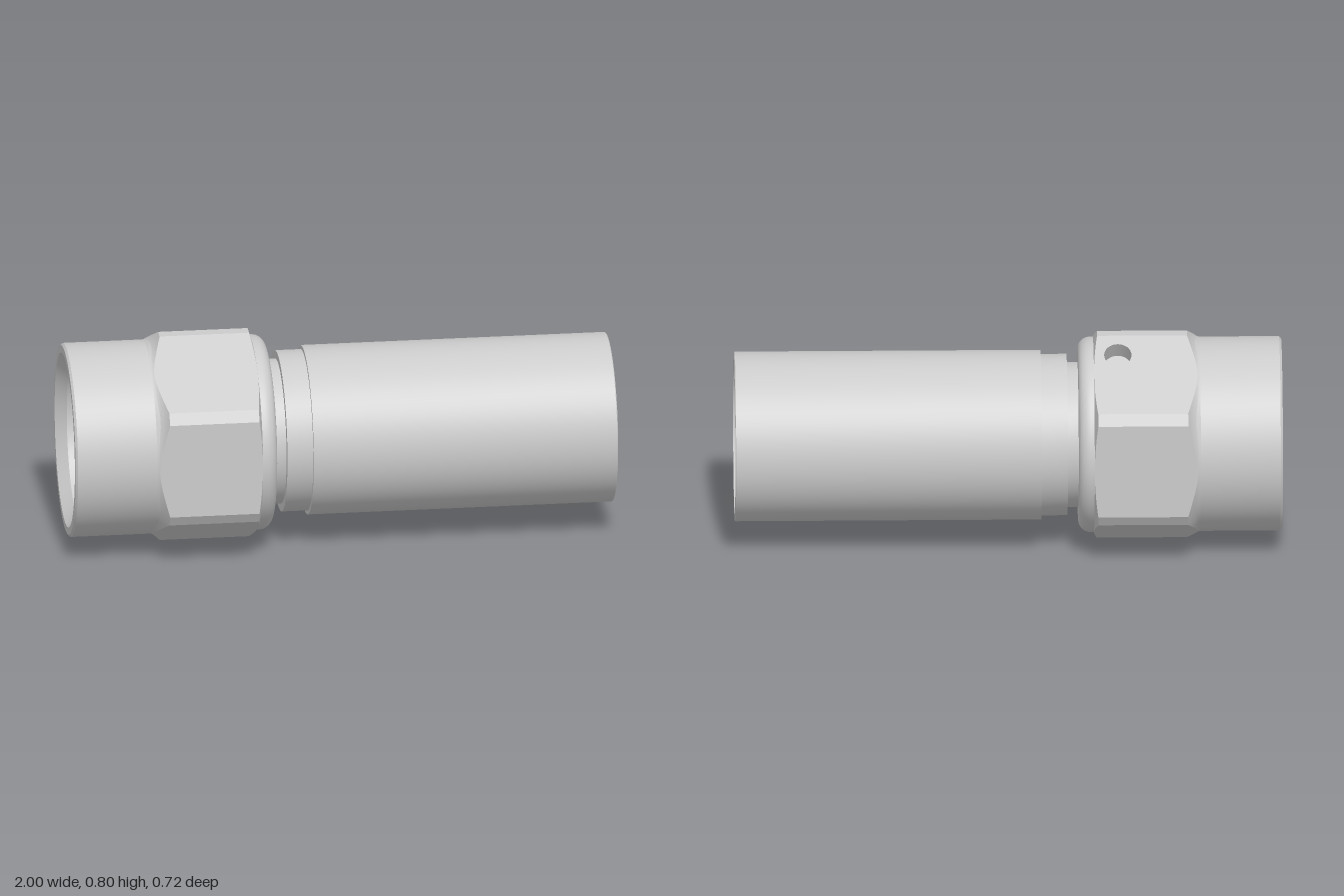
import * as THREE from 'three';
import { mergeGeometries, toCreasedNormals } from 'three/addons/utils/BufferGeometryUtils.js';

const AXIS_Y = 0.4;
const CREASE = 0.2;

export function createModel() {
  const model = new THREE.Group();
  const material = new THREE.MeshStandardMaterial({ color: 0xcccccc, side: THREE.DoubleSide });

  function add(name, geometry) {
    const mesh = new THREE.Mesh(geometry, material);
    mesh.name = name;
    mesh.position.y = AXIS_Y;
    model.add(mesh);
  }

  // Turned part about the x axis from [x, radius] points; outer walls run toward +x
  function turned(name, profile) {
    const points = profile.map(([x, r]) => new THREE.Vector2(r, x));
    const geometry = new THREE.LatheGeometry(points, 96).rotateZ(-Math.PI / 2);
    add(name, toCreasedNormals(geometry, CREASE));
  }

  // Threaded-end collar: bore, mouth chamfer, outer wall
  turned('nutCollar', [
    [-0.5, 0.145], [-0.55, 0.28], [-0.96, 0.28], [-1, 0.32], [-1, 0.347], [-0.992, 0.355], [-0.7, 0.355],
  ]);

  // Rounded shoulder behind the hex
  const shoulder = [[-0.312, 0.357]];
  for (let i = 0; i <= 10; i++) {
    const a = (i / 10) * Math.PI / 2;
    shoulder.push([-0.3 + 0.045 * Math.sin(a), 0.312 + 0.045 * Math.cos(a)]);
  }
  turned('nutShoulder', [...shoulder, [-0.255, 0.265]]);

  // Neck, stepped crimp sleeve and its flared mouth
  turned('crimpSleeve', [
    [-0.255, 0.265], [-0.215, 0.265], [-0.215, 0.295], [-0.12, 0.295], [-0.12, 0.31],
    [0.997, 0.31], [1, 0.307], [1, 0.28], [0.87, 0.24], [0.87, 0.19],
  ]);

  // Tapered inner tube with through bore
  turned('innerTube', [[0.87, 0.19], [0.99, 0.16], [0.99, 0.145], [-0.5, 0.145]]);

  // Hex nut: six flats and six narrow corner facets, cut by a flare and a chamfer
  const FLAT = 0.358, CORNER = 0.4;
  const cornerHalf = (FLAT / Math.cos(Math.PI / 6) - CORNER) * Math.tan(Math.PI / 3);
  const flatHalf = Math.sqrt(CORNER ** 2 + cornerHalf ** 2 - FLAT ** 2);
  const flareX = (r) => -0.7 + 0.046 * Math.pow(Math.max(0, r - 0.355) / 0.045, 0.6);
  const chamferX = (r) => -0.312 - 0.3 * (r - 0.357);
  const hole = { x: -0.4, t: -0.091, r: 0.05, depth: 0.07, facet: 8 };

  // Revolved strip over one facet, between two radii
  function strip(dist, half, segs, rStart, rEnd, xOf) {
    const geometry = new THREE.PlaneGeometry(1, 1, 6, segs);
    const pos = geometry.attributes.position;
    for (let i = 0; i < pos.count; i++) {
      const t = 2 * half * pos.getY(i);
      const edge = Math.hypot(t, dist);
      const r = THREE.MathUtils.lerp(rStart ?? edge, rEnd ?? edge, pos.getX(i) + 0.5);
      pos.setXYZ(i, xOf(r), t * r / edge, dist * r / edge);
    }
    return geometry;
  }

  const pieces = [];
  for (let i = 0; i < 12; i++) {
    const isFlat = i % 2 === 0;
    const dist = isFlat ? FLAT : CORNER;
    const half = isFlat ? flatHalf : cornerHalf;
    const segs = isFlat ? 24 : 4;
    const left = [], right = [];
    for (let k = 0; k <= segs; k++) {
      const t = half * (2 * k / segs - 1);
      const r = Math.hypot(t, dist);
      left.unshift(new THREE.Vector2(flareX(r), t));
      right.push(new THREE.Vector2(chamferX(r), t));
    }
    const shape = new THREE.Shape([...right, ...left]);
    if (i === hole.facet) {
      shape.holes.push(new THREE.Path().absarc(hole.x, hole.t, hole.r, 0, Math.PI * 2, true));
    }
    const facet = [
      new THREE.ShapeGeometry(shape, 16).translate(0, 0, dist),
      strip(dist, half, segs, 0.355, null, flareX),
      strip(dist, half, segs, null, 0.357, chamferX),
    ];
    pieces.push(...facet.map((g) => g.rotateX(i * Math.PI / 6)));
  }
  add('hexNut', toCreasedNormals(mergeGeometries(pieces), CREASE));

  // Blind hole drilled square into one flat
  const wall = new THREE.CylinderGeometry(hole.r, hole.r, hole.depth, 32, 1, true)
    .rotateX(Math.PI / 2).translate(hole.x, hole.t, FLAT - hole.depth / 2);
  const floor = new THREE.CircleGeometry(hole.r, 32).translate(hole.x, hole.t, FLAT - hole.depth);
  add('drilledHole', mergeGeometries([wall, floor]).rotateX(hole.facet * Math.PI / 6));

  return model;
}
